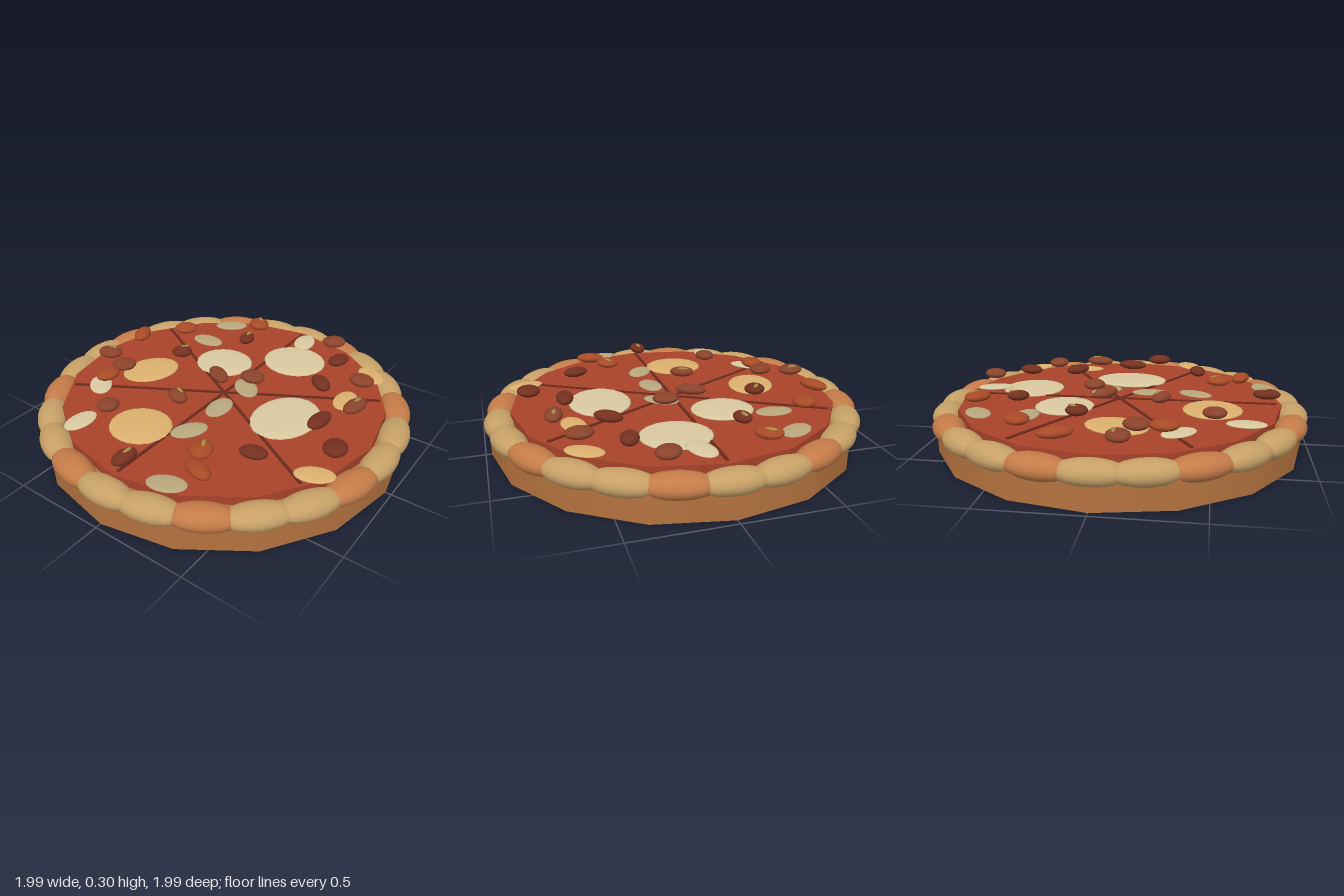
import * as THREE from 'three';

export function createModel() {
  const root = new THREE.Group();
  root.name = 'pizza';
  const mats = {};
  const mat = (color) => (mats[color] ??= new THREE.MeshStandardMaterial({ color }));
  const rad = THREE.MathUtils.degToRad;

  function add(parent, name, geometry, color, x = 0, y = 0, z = 0) {
    const mesh = new THREE.Mesh(geometry, mat(color));
    mesh.name = name;
    mesh.position.set(x, y, z);
    parent.add(mesh);
    return mesh;
  }

  function group(name) {
    const g = new THREE.Group();
    g.name = name;
    root.add(g);
    return g;
  }

  const ball = new THREE.SphereGeometry(1, 20, 12);

  // Squashed sphere: tilt in degrees turns the long axis from +x towards +z
  function ellipsoid(parent, name, color, [x, y, z], [rx, ry, rz], tilt = 0) {
    const mesh = add(parent, name, ball, color, x, y, z);
    mesh.scale.set(rx, ry, rz);
    mesh.rotation.y = -rad(tilt);
    return mesh;
  }

  // Dough base and sauce
  add(root, 'base', new THREE.CylinderGeometry(0.97, 0.97, 0.17, 16), 0xb4733f, 0, 0.085);
  add(root, 'sauce', new THREE.CylinderGeometry(0.86, 0.86, 0.045, 16), 0xa8432a, 0, 0.1925);

  // Puffy crust, every third piece browner
  const crust = group('crust');
  for (let i = 0; i < 24; i++) {
    const a = i * 15;
    const color = i % 3 === 1 ? 0xc47b48 : 0xc6a066;
    ellipsoid(crust, 'crustPiece', color,
      [0.915 * Math.cos(rad(a)), 0.16, 0.915 * Math.sin(rad(a))], [0.08, 0.06, 0.17], a);
  }

  // Slice cuts
  const cuts = group('sliceCuts');
  const cutGeometry = new THREE.BoxGeometry(1.66, 0.012, 0.015);
  for (let i = 0; i < 3; i++) {
    add(cuts, 'sliceCut', cutGeometry, 0x6b2a1b, 0, 0.215).rotation.y = i * Math.PI / 3;
  }

  const PALE = 0xd9c8a0, OLIVE = 0xb8a67c, GOLD = 0xdcb06e;

  // Melted cheese patches: x, z, half length, half width, tilt, colour
  const cheese = group('cheesePatches');
  [
    [-0.05, -0.48, 0.165, 0.125, 22, GOLD],
    [-0.5, -0.155, 0.155, 0.165, 0, GOLD],
    [0.265, -0.19, 0.155, 0.165, 0, PALE],
    [0.515, 0.135, 0.17, 0.18, 0, PALE],
    [-0.015, 0.395, 0.21, 0.165, 5, PALE],
  ].forEach(([x, z, a, b, tilt, color]) =>
    ellipsoid(cheese, 'cheesePatch', color, [x, 0.219, z], [a, 0.014, b], tilt));

  // Thin oval slices: x, z, tilt, colour
  const slices = group('ovalSlices');
  [
    [-0.35, -0.58, -45, PALE], [-0.66, -0.415, 0, PALE], [0.405, -0.415, 90, OLIVE],
    [0.655, -0.415, 55, OLIVE], [-0.405, 0.08, 30, OLIVE], [-0.155, 0.08, -5, OLIVE],
    [0.085, 0.085, -50, OLIVE], [0.725, 0.08, -15, PALE], [-0.78, 0.25, 70, OLIVE],
    [0.285, 0.58, -8, GOLD], [0.6, 0.58, -55, GOLD], [-0.345, 0.75, 65, GOLD],
  ].forEach(([x, z, tilt, color]) =>
    ellipsoid(slices, 'ovalSlice', color, [x, 0.234, z], [0.098, 0.01, 0.06], tilt));

  const DARK = 0x74301f, MID = 0x8a432b, RUST = 0xa84a26;

  // Rounded toppings: x, z, half length, half width, tilt, colour
  const plain = [
    [0.185, -0.75, 0.085, 0.045, -25, RUST], [-0.285, -0.585, 0.07, 0.056, 0, RUST],
    [-0.155, -0.585, 0.068, 0.06, 45, MID], [0.405, -0.585, 0.068, 0.06, 50, RUST],
    [-0.51, -0.365, 0.06, 0.056, 0, MID], [0.065, -0.085, 0.085, 0.045, -58, MID],
    [0.155, 0.08, 0.07, 0.058, 90, MID], [-0.655, 0.33, 0.082, 0.045, -70, RUST],
    [-0.405, 0.46, 0.07, 0.045, 75, DARK], [0.78, 0.25, 0.068, 0.058, 45, MID],
    [0.595, 0.375, 0.07, 0.045, 15, DARK], [0.315, 0.415, 0.078, 0.045, -50, DARK],
    [0.47, 0.58, 0.07, 0.058, 90, MID], [0, 0.58, 0.085, 0.045, 5, DARK],
    [-0.155, 0.75, 0.07, 0.06, -15, DARK],
  ];
  // Toppings carrying a small herb sliver
  const garnished = [
    [-0.095, -0.75, 0.07, 0.058, 80, MID], [0.155, -0.415, 0.058, 0.054, 35, DARK],
    [0.715, -0.245, 0.07, 0.058, -50, RUST], [0.51, -0.2, 0.058, 0.042, -10, DARK],
    [-0.235, -0.13, 0.07, 0.045, -65, MID], [-0.78, 0, 0.072, 0.045, 0, DARK],
    [-0.53, 0.25, 0.07, 0.058, -30, RUST], [0.22, 0.665, 0.083, 0.045, 10, MID],
  ];
  const toppings = group('toppings');
  [...plain, ...garnished].forEach(([x, z, a, b, tilt, color]) =>
    ellipsoid(toppings, 'topping', color, [x, 0.27, z], [a, 0.027, b], tilt));

  const herbs = group('herbSlivers');
  garnished.forEach(([x, z, , , tilt]) =>
    ellipsoid(herbs, 'herbSliver', 0xa58a45, [x + 0.02, 0.293, z], [0.03, 0.007, 0.011], tilt));

  return root;
}
